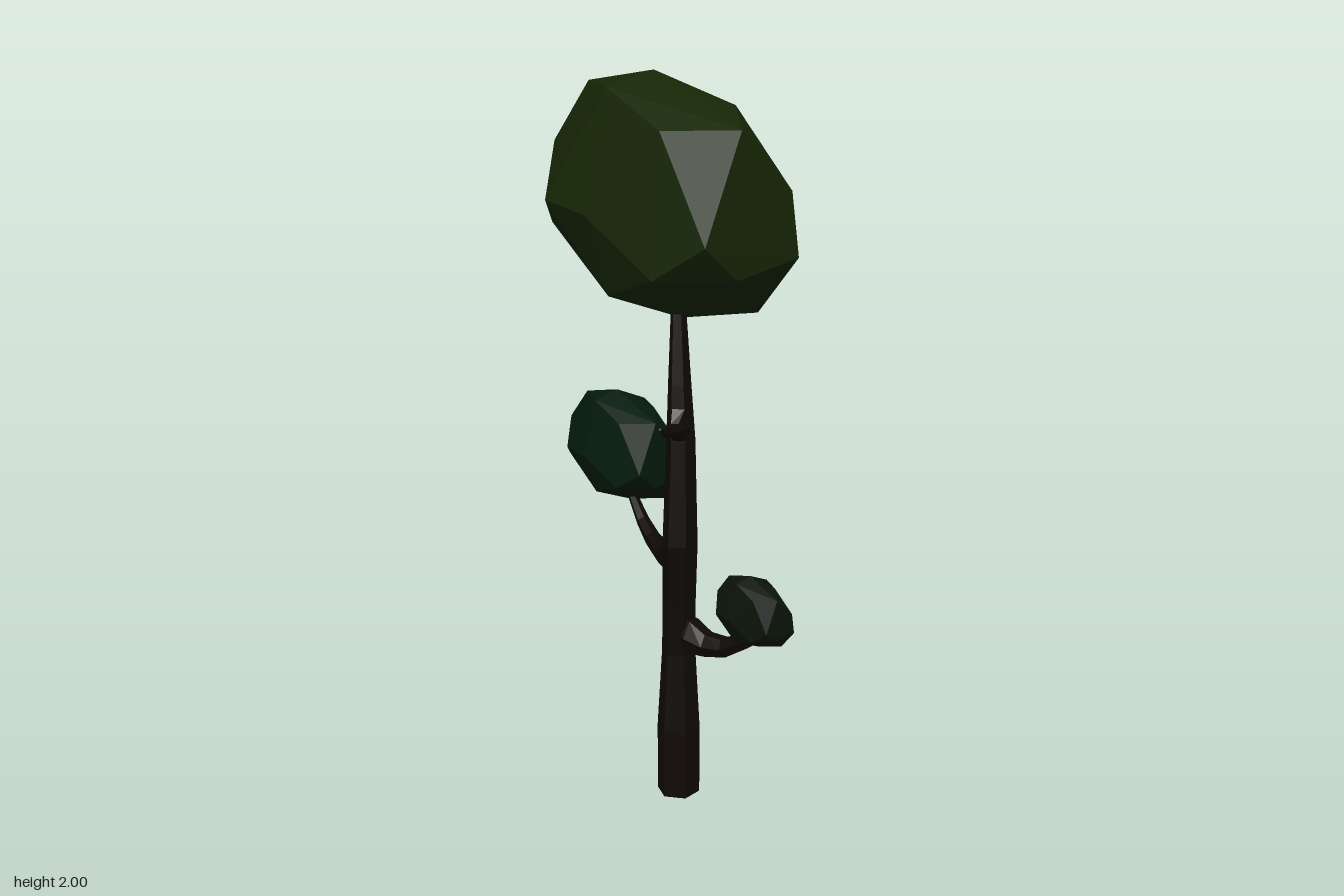
import * as THREE from 'three';
import { ConvexGeometry } from 'three/addons/geometries/ConvexGeometry.js';

const material = (color) => new THREE.MeshStandardMaterial({ color, flatShading: true });

// Tapered, faceted limb through stations [x, y, z, radius, height stretch], closed at both ends
function limb(name, stations, sides, mat, level = false) {
  const centres = stations.map((s) => new THREE.Vector3(s[0], s[1], s[2]));
  const last = stations.length - 1;
  const positions = [], index = [];
  centres.forEach((c, i) => {
    const [, , , radius, stretch = 1] = stations[i];
    const tangent = level
      ? new THREE.Vector3(0, 1, 0)
      : centres[Math.min(i + 1, last)].clone().sub(centres[Math.max(i - 1, 0)]).normalize();
    const turn = new THREE.Quaternion().setFromUnitVectors(new THREE.Vector3(0, 1, 0), tangent);
    for (let k = 0; k < sides; k++) {
      const a = ((k + 0.25) / sides) * Math.PI * 2;
      const p = new THREE.Vector3(Math.sin(a), 0, Math.cos(a)).multiplyScalar(radius).applyQuaternion(turn);
      positions.push(c.x + p.x, c.y + p.y * stretch, c.z + p.z);
    }
  });
  for (let i = 0; i < last; i++) {
    for (let k = 0; k < sides; k++) {
      const a = i * sides + k, b = i * sides + (k + 1) % sides;
      index.push(a, b, b + sides, a, b + sides, a + sides);
    }
  }
  // End caps
  for (let k = 1; k < sides - 1; k++) {
    const t = last * sides;
    index.push(0, k + 1, k, t, t + k, t + k + 1);
  }
  const geo = new THREE.BufferGeometry();
  geo.setAttribute('position', new THREE.Float32BufferAttribute(positions, 3));
  geo.setIndex(index);
  const flat = geo.toNonIndexed();
  flat.computeVertexNormals();
  const mesh = new THREE.Mesh(flat, mat);
  mesh.name = name;
  return mesh;
}

// Corners of the rough, slanted leaf ball, from the top down
const leafCorners = [
  [-0.04, 0.313, 0],
  [-0.2, 0.28, -0.1], [-0.16, 0.28, 0.095], [0.155, 0.235, 0.095], [0.11, 0.235, -0.1],
  [-0.13, 0.153, -0.26], [0.065, 0.153, -0.26], [-0.04, 0.193, 0.255], [0.155, 0.193, 0.255],
  [-0.29, 0.123, -0.16], [0.22, 0.035, -0.16], [0.29, 0.035, 0.16], [-0.22, -0.02, 0.155],
  [-0.315, -0.007, 0], [-0.3, -0.087, -0.14], [0.315, -0.127, 0], [0.31, -0.13, 0.16],
  [-0.04, -0.112, -0.32], [0.065, -0.077, 0.315], [0.225, -0.13, -0.145],
  [0.08, -0.187, -0.245], [-0.07, -0.187, -0.25], [-0.06, -0.167, 0.25], [0.15, -0.167, 0.255],
  [0.22, -0.287, 0.075], [0.165, -0.235, -0.1], [-0.18, -0.237, -0.1], [-0.16, -0.237, 0.09],
  [0.03, -0.315, 0],
].map((p) => new THREE.Vector3(...p));

function foliage(name, x, y, z, scale, color) {
  const mesh = new THREE.Mesh(new ConvexGeometry(leafCorners), material(color));
  mesh.scale.setScalar(scale);
  mesh.position.set(x, y, z);
  mesh.name = name;
  return mesh;
}

export function createModel() {
  const tree = new THREE.Group();
  tree.name = 'tree';
  const bark = material(0x0f0905);

  // Trunk with a slight bend
  tree.add(limb('trunk', [
    [0.025, 0, 0.07, 0.06],
    [0.025, 0.2, 0.07, 0.06],
    [0.025, 0.43, 0.07, 0.047],
    [0.025, 0.58, 0.078, 0.046],
    [0.026, 0.76, 0.098, 0.048],
    [0.028, 1.05, 0.092, 0.039],
    [0.025, 1.2, 0.085, 0.031],
    [0.022, 1.42, 0.072, 0.019],
  ], 6, bark, true));

  // Branches, flared where they leave the trunk
  tree.add(limb('lowerBranch', [
    [0.035, 0.49, 0.08, 0.036, 1.5],
    [0.058, 0.488, 0.102, 0.038, 1.45],
    [0.1, 0.477, 0.138, 0.033, 1.1],
    [0.145, 0.487, 0.18, 0.029],
    [0.195, 0.525, 0.23, 0.02],
    [0.21, 0.58, 0.25, 0.015],
  ], 6, bark));
  tree.add(limb('middleBranch', [
    [0.022, 0.71, 0.08, 0.036, 1.6],
    [0.012, 0.705, 0.048, 0.037, 1.6],
    [-0.008, 0.69, 0.005, 0.029, 1.1],
    [-0.04, 0.707, -0.075, 0.023],
    [-0.063, 0.735, -0.14, 0.019],
    [-0.088, 0.785, -0.205, 0.014],
  ], 6, bark));
  tree.add(limb('bareTwig', [
    [0.025, 1.095, 0.095, 0.03, 1.6],
    [0.02, 1.095, 0.122, 0.033, 1.6],
    [0.01, 1.09, 0.15, 0.021],
    [-0.005, 1.095, 0.185, 0.014],
    [-0.02, 1.105, 0.22, 0.011],
    [-0.035, 1.125, 0.25, 0.004],
  ], 6, bark));

  // Leaves
  tree.add(foliage('crown', 0, 1.687, 0.07, 1, 0x162605));
  tree.add(foliage('middleLeaves', -0.11, 0.936, -0.225, 0.52, 0x041a0b));
  tree.add(foliage('lowerLeaves', 0.211, 0.625, 0.26, 0.32, 0x0b1407));
  return tree;
}
